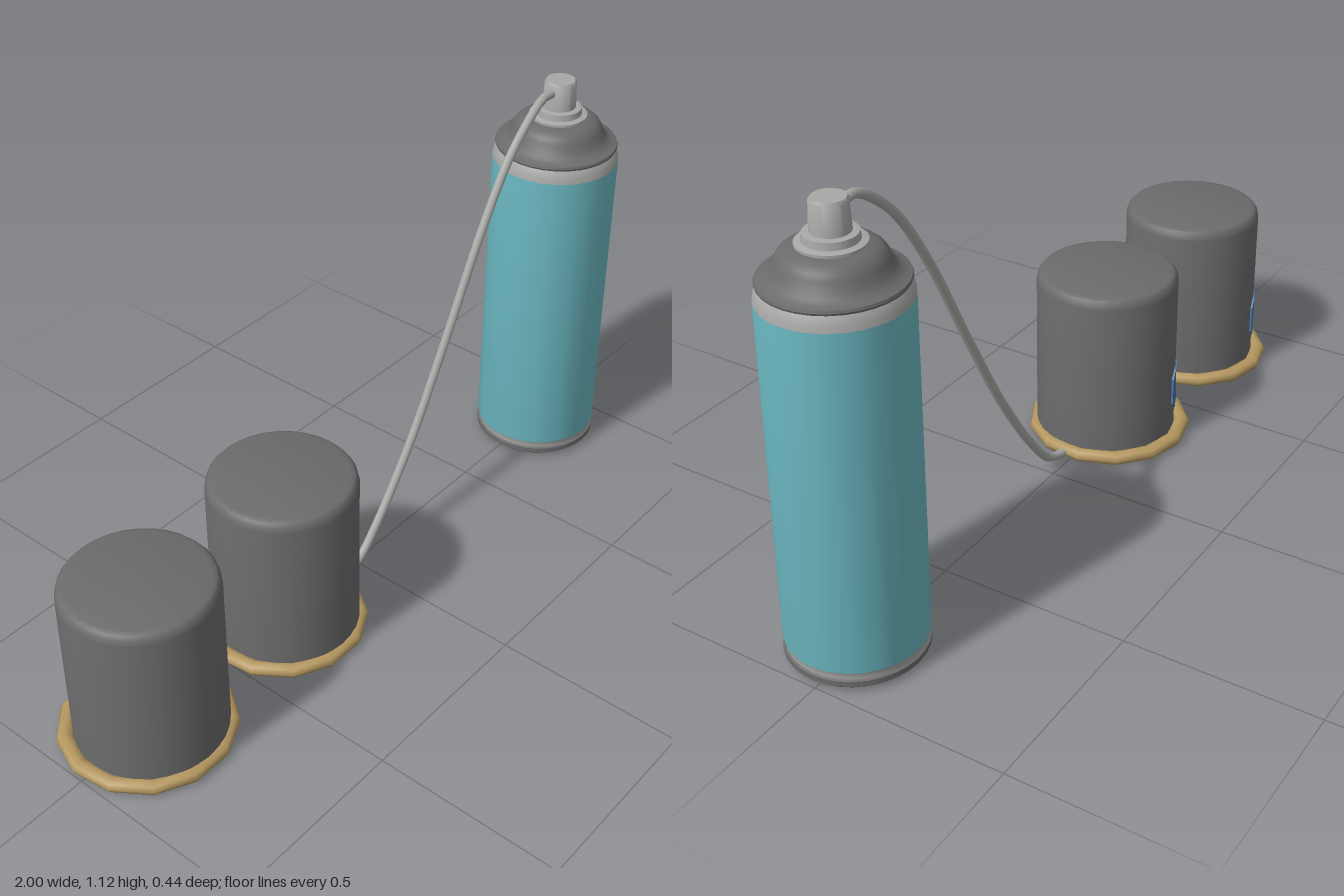
import * as THREE from 'three';
import { toCreasedNormals } from 'three/addons/utils/BufferGeometryUtils.js';

const mat = (name, color) => {
  const m = new THREE.MeshStandardMaterial({ color });
  m.name = name;
  return m;
};

export function createModel() {
  const darkGrey = mat('dark grey', 0x6b6b6b);
  const lightGrey = mat('light grey', 0xa8a8a6);
  const teal = mat('teal', 0x6dbac4);
  const tan = mat('tan', 0xb4975f);
  const orange = mat('orange', 0xc06c10);
  const blue = mat('blue', 0x4a78a8);

  const model = new THREE.Group();
  model.name = 'sprayCanAndCups';

  const add = (parent, name, geometry, material, x = 0, y = 0, z = 0) => {
    const mesh = new THREE.Mesh(geometry, material);
    mesh.name = name;
    mesh.position.set(x, y, z);
    parent.add(mesh);
    return mesh;
  };
  // Profile of [radius, height] pairs, listed from the bottom up
  const lathe = (profile, segments = 32, crease = 0.6) =>
    toCreasedNormals(
      new THREE.LatheGeometry(profile.map(([r, y]) => new THREE.Vector2(r, y)), segments), crease);

  // Can, from the base to the nozzle
  const can = new THREE.Group();
  can.name = 'sprayCan';
  can.position.set(0.826, 0, 0.013);
  model.add(can);
  add(can, 'canBase', lathe([[0, 0.016], [0.166, 0.016], [0.17, 0.02], [0.17, 0.034], [0.163, 0.037]]), darkGrey);
  add(can, 'canLowerBand', lathe([[0.16, 0.035], [0.165, 0.037], [0.165, 0.045], [0.168, 0.055]]), lightGrey);
  add(can, 'canBody', lathe([[0.168, 0.055], [0.169, 0.06], [0.169, 0.907]]), teal);
  add(can, 'canShoulder', lathe([[0.169, 0.907], [0.167, 0.92], [0.162, 0.935], [0.156, 0.945]]), lightGrey);
  add(can, 'canDome', lathe([
    [0.15, 0.943], [0.162, 0.943], [0.164, 0.948], [0.162, 0.954], [0.15, 0.957],
    [0.138, 0.964], [0.127, 0.976], [0.12, 0.995], [0.112, 1.008], [0.1, 1.018],
    [0.085, 1.022], [0.07, 1.025], [0, 1.025],
  ]), darkGrey);
  add(can, 'valveCup', lathe([
    [0.068, 1.022], [0.077, 1.026], [0.077, 1.032], [0.062, 1.035], [0.06, 1.052],
    [0.045, 1.054], [0, 1.054],
  ]), lightGrey);
  add(can, 'nozzle', lathe([[0.045, 1.053], [0.042, 1.122], [0.038, 1.128], [0, 1.128]]), lightGrey);

  // Hose from the nozzle down under the rim of the nearer cup
  const hosePath = new THREE.CatmullRomCurve3([
    [0.8, 1.098, 0.013], [0.745, 1.103, 0.014], [0.67, 1.06, 0.018], [0.595, 0.99, 0.02],
    [0.49, 0.84, 0.024], [0.33, 0.55, 0.028], [0.195, 0.315, 0.03], [0.06, 0.12, 0.028],
    [-0.02, 0.036, 0.026], [-0.08, 0.02, 0.02], [-0.16, 0.022, 0.014], [-0.24, 0.028, 0.006],
  ].map((p) => new THREE.Vector3(...p)));
  add(model, 'hose', new THREE.TubeGeometry(hosePath, 64, 0.012, 8), lightGrey);

  // Hollow cup, closed at the top and open below
  const cupShell = lathe([
    [0, 0.478], [0.165, 0.478], [0.18, 0.465], [0.18, 0.006], [0.19, 0.006],
    [0.19, 0.462], [0.187, 0.476], [0.179, 0.486], [0.166, 0.49], [0, 0.49],
  ], 32);
  // Flattened, coarse ring around the mouth
  const ring = new THREE.TorusGeometry(0.201, 0.022, 8, 13);
  ring.rotateX(-Math.PI / 2).rotateY(Math.PI / 2).scale(1, 0.8, 1);
  // Curved patch with clipped corners, wrapped on the back wall
  const w = 0.048, h = 0.06, c = 0.022;
  const patchShape = new THREE.Shape([
    [-w, -h + c], [-w + c, -h], [w - c, -h], [w, -h + c],
    [w, h - c], [w - c, h], [-w + c, h], [-w, h - c],
  ].map((p) => new THREE.Vector2(...p)));
  const patch = new THREE.ExtrudeGeometry(patchShape, { depth: 0.005, bevelEnabled: false });
  const pos = patch.attributes.position;
  for (let i = 0; i < pos.count; i++) {
    const a = pos.getX(i) / 0.19, r = 0.19 + pos.getZ(i);
    pos.setXYZ(i, r * Math.sin(a), pos.getY(i), r * Math.cos(a));
  }
  patch.computeVertexNormals();

  [-0.78, -0.294].forEach((x, i) => {
    const cup = new THREE.Group();
    cup.name = i ? 'nearCup' : 'farCup';
    cup.position.x = x;
    model.add(cup);
    add(cup, 'cupShell', cupShell, darkGrey, 0.005, 0, 0.009);
    add(cup, 'cupRim', ring, tan, 0, 0.022, 0);
    add(cup, 'innerDisc', new THREE.CylinderGeometry(0.071, 0.071, 0.042, 24), orange, 0, 0.031, 0);
    add(cup, 'backPatch', patch, blue, 0.005, 0.15, 0.009).rotation.y = Math.PI + 0.42;
  });

  return model;
}
